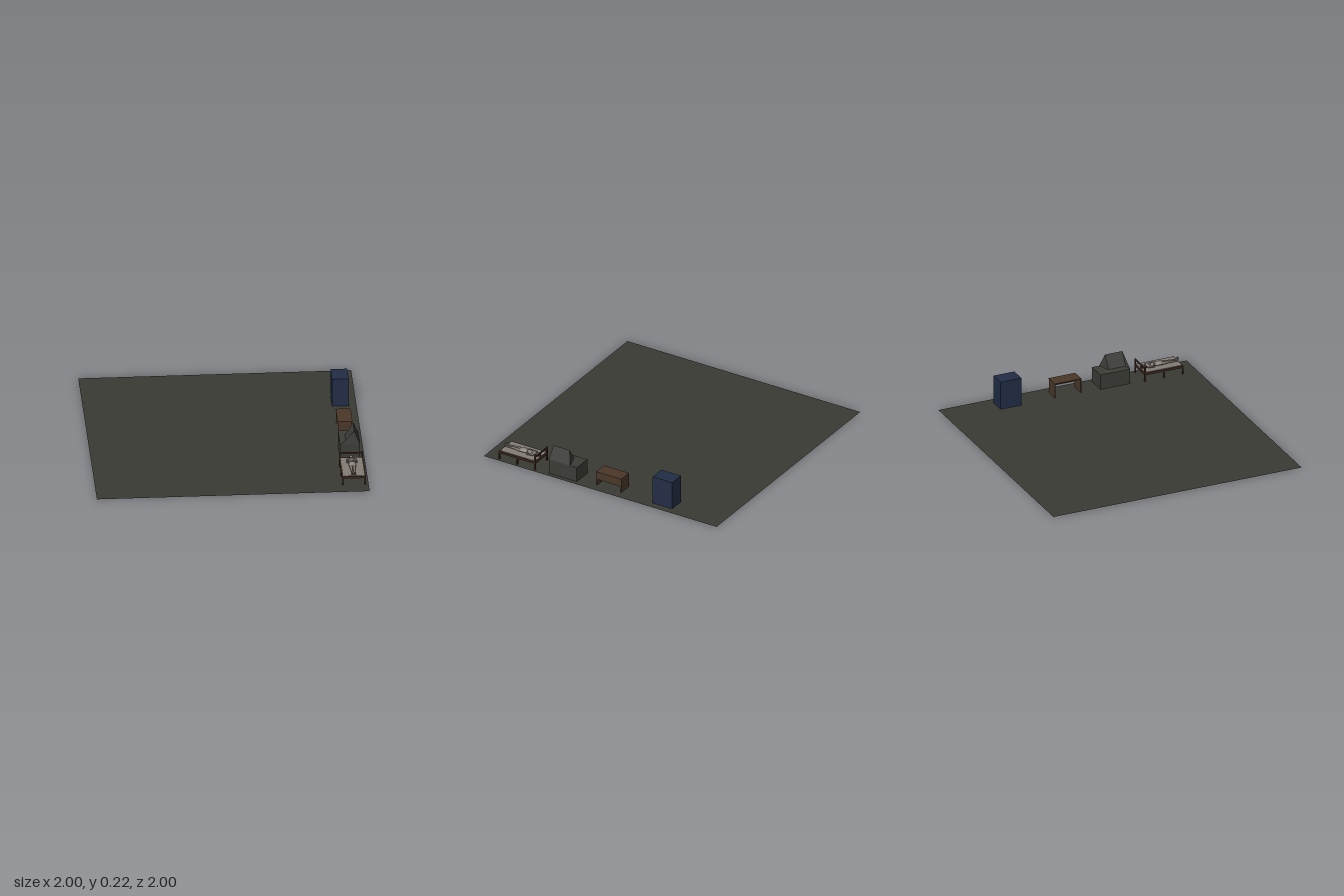
import * as THREE from 'three';

const mat = (name, color) => {
  const m = new THREE.MeshStandardMaterial({ color });
  m.name = name;
  return m;
};

export function createModel() {
  const floorMat = mat('floor grey', 0x3b3b35);
  const stone = mat('hearth stone', 0x3c3d37);
  const blue = mat('cabinet blue', 0x222d46);
  const wood = mat('desk brown', 0x4b3829);
  const frame = mat('bed wood', 0x3f2a1f);
  const sheet = mat('mattress', 0x837c76);
  const skin = mat('skin', 0x7d756b);
  const cloth = mat('dress', 0x8d8880);
  const hair = mat('hair', 0x2c2724);
  floorMat.side = THREE.DoubleSide;

  const root = new THREE.Group();
  root.name = 'room';
  const group = (name) => {
    const g = new THREE.Group();
    g.name = name;
    root.add(g);
    return g;
  };
  const add = (parent, name, geo, material) => {
    const m = new THREE.Mesh(geo, material);
    m.name = name;
    parent.add(m);
    return m;
  };
  // Box given by its lower and upper limits on each axis
  const box = (parent, name, material, [x0, x1], [y0, y1], [z0, z1]) =>
    add(parent, name, new THREE.BoxGeometry(x1 - x0, y1 - y0, z1 - z0), material)
      .position.set((x0 + x1) / 2, (y0 + y1) / 2, (z0 + z1) / 2);

  // Floor
  add(root, 'floor', new THREE.PlaneGeometry(2, 2).rotateX(-Math.PI / 2), floorMat);

  // Cabinet
  box(root, 'cabinet', blue, [0.82, 0.943], [0, 0.22], [-0.583, -0.415]);

  // Desk: top, two end panels and a panel along the wall side
  const desk = group('desk');
  box(desk, 'deskTop', wood, [0.828, 0.937], [0.108, 0.114], [-0.141, 0.073]);
  for (const z of [-0.141, 0.068])
    box(desk, 'deskEnd', wood, [0.83, 0.935], [0, 0.108], [z, z + 0.005]);
  box(desk, 'backPanel', wood, [0.929, 0.935], [0.05, 0.108], [-0.136, 0.068]);

  // Hearth: base block with a lopsided hood
  const hearth = group('hearth');
  box(hearth, 'hearthBase', stone, [0.82, 0.967], [0, 0.117], [0.222, 0.462]);
  const hood = new THREE.BoxGeometry(1, 1, 1);
  const p = hood.attributes.position;
  for (let i = 0; i < p.count; i++) {
    const right = p.getX(i) > 0, top = p.getY(i) > 0, front = p.getZ(i) > 0;
    if (top) p.setXYZ(i, right ? 0.926 : 0.865, right ? 0.22 : 0.124, front ? 0.447 : 0.308);
    else p.setXYZ(i, right ? 0.967 : 0.82, 0.117, front ? 0.462 : 0.28);
  }
  const hoodFlat = hood.toNonIndexed();
  hoodFlat.computeVertexNormals();
  add(hearth, 'hood', hoodFlat, stone);

  // Bed: rails, legs, headboard and mattress
  const bed = group('bed');
  for (const x of [0.804, 0.97]) {
    box(bed, 'sideRail', frame, [x, x + 0.01], [0.05, 0.066], [0.572, 0.885]);
    box(bed, 'headPost', frame, [x, x + 0.01], [0, 0.112], [0.57, 0.58]);
    box(bed, 'middleLeg', frame, [x, x + 0.01], [0, 0.05], [0.722, 0.734]);
    box(bed, 'footLeg', frame, [x, x + 0.01], [0, 0.066], [0.876, 0.886]);
  }
  box(bed, 'headTopRail', frame, [0.814, 0.97], [0.099, 0.111], [0.571, 0.579]);
  box(bed, 'headLowerRail', frame, [0.814, 0.97], [0.05, 0.068], [0.571, 0.579]);
  box(bed, 'footRail', frame, [0.814, 0.97], [0.05, 0.066], [0.877, 0.885]);
  box(bed, 'mattress', sheet, [0.814, 0.97], [0.053, 0.069], [0.58, 0.876]);

  // Person lying on the back, head towards the headboard
  const person = group('person');
  const cx = 0.892;
  const blob = (name, material, x, y, z, rx, ry, rz) => {
    const m = add(person, name, new THREE.SphereGeometry(1, 16, 12), material);
    m.position.set(cx + x, y, z);
    m.scale.set(rx, ry, rz);
  };
  const limb = (name, material, a, b, ra, rb) => {
    const va = new THREE.Vector3(...a), vb = new THREE.Vector3(...b);
    const d = vb.clone().sub(va);
    const m = add(person, name, new THREE.CylinderGeometry(rb, ra, d.length(), 10), material);
    m.position.copy(va).add(vb).multiplyScalar(0.5);
    m.position.x += cx;
    m.quaternion.setFromUnitVectors(new THREE.Vector3(0, 1, 0), d.normalize());
  };
  blob('hair', hair, 0, 0.079, 0.594, 0.0145, 0.013, 0.017);
  for (const s of [-1, 1]) blob('hairLock', hair, s * 0.012, 0.077, 0.613, 0.005, 0.007, 0.02);
  blob('face', skin, 0, 0.084, 0.598, 0.0105, 0.0125, 0.0145);
  limb('neck', skin, [0, 0.08, 0.606], [0, 0.08, 0.628], 0.005, 0.006);

  // Dress: loft of elliptical sections along the body
  const dress = new THREE.LatheGeometry(
    [[0.001, 0.62], [0.017, 0.624], [0.026, 0.632], [0.024, 0.65], [0.019, 0.673],
      [0.025, 0.695], [0.027, 0.72], [0.026, 0.748], [0.001, 0.75]]
      .map(([r, z]) => new THREE.Vector2(r, z)), 20);
  dress.rotateX(Math.PI / 2).scale(1, 0.52, 1);
  add(person, 'dress', dress, cloth).position.set(cx, 0.082, 0);

  for (const s of [-1, 1]) {
    blob('chest', cloth, s * 0.01, 0.093, 0.645, 0.009, 0.007, 0.01);
    blob('shoulder', skin, s * 0.026, 0.081, 0.632, 0.008, 0.008, 0.009);
    limb('upperArm', skin, [s * 0.029, 0.081, 0.632], [s * 0.035, 0.079, 0.672], 0.007, 0.006);
    blob('elbow', skin, s * 0.035, 0.079, 0.673, 0.006, 0.006, 0.006);
    limb('forearm', skin, [s * 0.035, 0.08, 0.673], [s * 0.009, 0.096, 0.685], 0.006, 0.004);
    blob('hand', skin, s * 0.005, 0.096, 0.687, 0.008, 0.004, 0.006);
    limb('thigh', skin, [s * 0.012, 0.08, 0.745], [s * 0.01, 0.08, 0.79], 0.012, 0.009);
    blob('knee', skin, s * 0.01, 0.08, 0.79, 0.009, 0.009, 0.01);
    limb('shin', skin, [s * 0.01, 0.08, 0.79], [s * 0.009, 0.077, 0.868], 0.009, 0.0055);
    limb('foot', skin, [s * 0.009, 0.074, 0.868], [s * 0.01, 0.098, 0.882], 0.007, 0.004);
  }
  return root;
}
